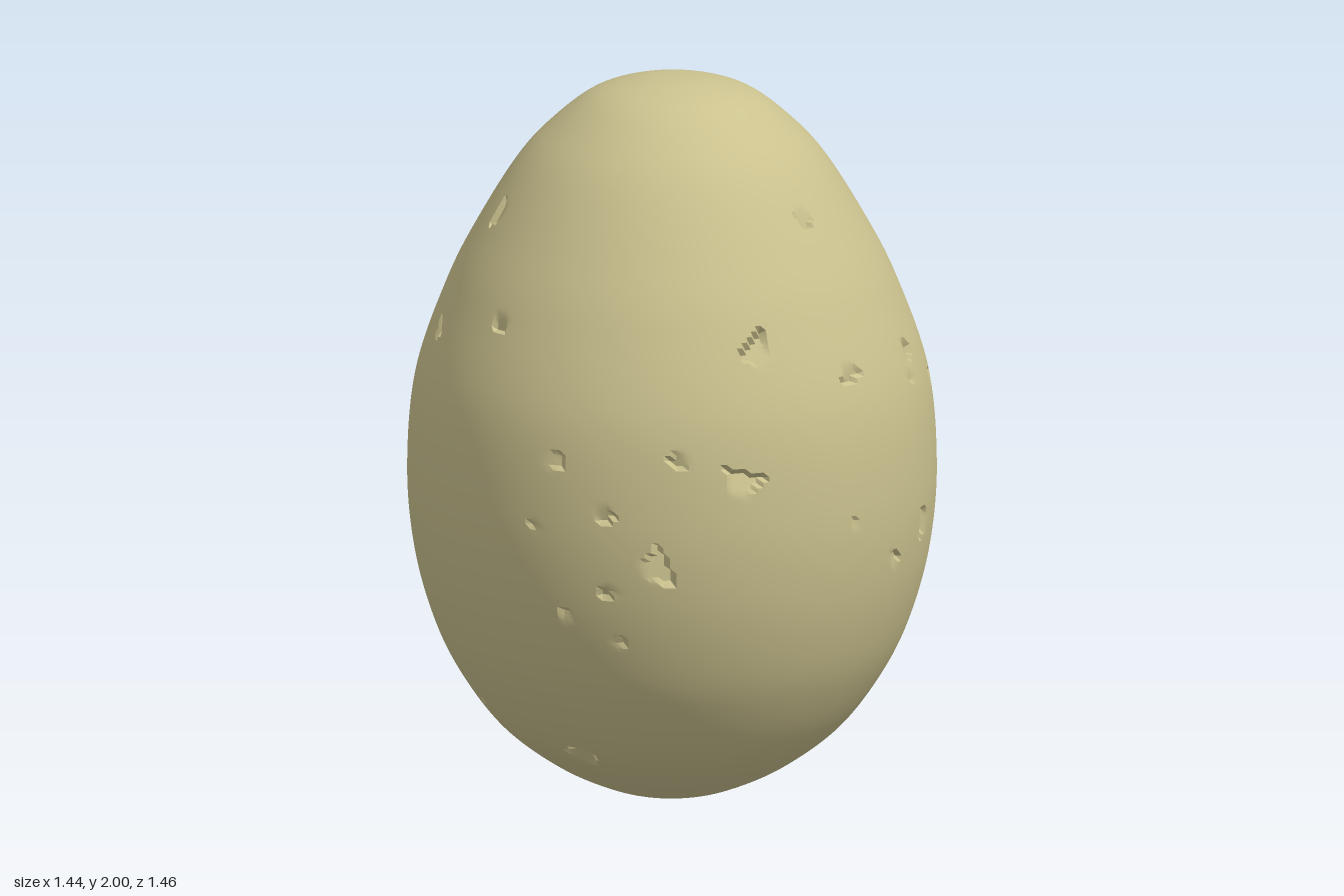
import * as THREE from 'three';
import { toCreasedNormals } from 'three/addons/utils/BufferGeometryUtils.js';

const DEPTH = 1.02; // the egg is slightly deeper than wide

// Egg outline, bottom to top: radius, height
const profile = new THREE.SplineCurve([
  [0, 0], [0.1, 0.006], [0.2, 0.035], [0.33, 0.1], [0.47, 0.21], [0.58, 0.36], [0.65, 0.51],
  [0.7, 0.7], [0.718, 0.92], [0.695, 1.18], [0.61, 1.43], [0.525, 1.6], [0.42, 1.77],
  [0.33, 1.87], [0.22, 1.955], [0.1, 1.993], [0, 2],
].map(([r, y]) => new THREE.Vector2(r, y))).getSpacedPoints(190);
profile.forEach(p => { p.x = Math.max(p.x, 0); });
profile[0].x = profile[profile.length - 1].x = 0;

function radiusAt(y) {
  for (let i = 1; i < profile.length; i++) {
    const a = profile[i - 1], b = profile[i];
    if (y >= a.y && y < b.y) return a.x + (b.x - a.x) * (y - a.y) / (b.y - a.y);
  }
  return 0;
}

// Chips by facing direction (azimuth, elevation in degrees): across, up from the middle, size
const chipGroups = [
  { az: 0, el: 0, chips: [
    [-0.37, 0.66, 0.04], [-0.53, 0.33, 0.035], [-0.27, 0.41, 0.035], [0.44, 0.37, 0.05],
    [-0.05, 0.08, 0.035], [0.29, 0.09, 0.035], [0.44, 0.02, 0.05], [0.1, -0.06, 0.035],
    [-0.11, -0.11, 0.02], [0.23, -0.21, 0.055], [0.1, -0.28, 0.03], [-0.03, -0.36, 0.03],
    [0.12, -0.42, 0.022], [-0.41, -0.69, 0.025], [-0.08, -0.81, 0.055]] },
  { az: 90, el: 0, chips: [
    [-0.24, 0.28, 0.035], [-0.29, -0.13, 0.022], [0.06, 0.28, 0.035], [0.04, 0.21, 0.02],
    [0.25, 0.16, 0.03], [0.4, -0.11, 0.04], [0.07, -0.2, 0.045], [-0.11, -0.26, 0.028],
    [-0.16, 0.68, 0.038], [0.51, 0.41, 0.035], [0.62, 0.09, 0.03], [0.58, -0.1, 0.028],
    [0.66, -0.43, 0.025]] },
  { az: 213, el: 24, chips: [
    [-0.57, 0.29, 0.035], [-0.01, 0.18, 0.035], [-0.14, -0.17, 0.025], [0.09, -0.21, 0.045],
    [0.37, -0.48, 0.03], [0.48, -0.46, 0.025], [-0.13, -0.69, 0.045], [0.49, 0.05, 0.025],
    [0.61, -0.22, 0.035]] },
  { az: 138, el: -31, chips: [[0.25, -0.02, 0.025], [0.62, -0.24, 0.045]] },
];

// Finds each chip on the shell and gives it a tangent frame
function placeChips() {
  const placed = [];
  for (const { az, el, chips } of chipGroups) {
    const a = THREE.MathUtils.degToRad(az), e = THREE.MathUtils.degToRad(el);
    const dir = new THREE.Vector3(Math.sin(a) * Math.cos(e), Math.sin(e), Math.cos(a) * Math.cos(e));
    const right = new THREE.Vector3(Math.cos(a), 0, -Math.sin(a));
    const up = dir.clone().cross(right);
    for (const [u, v, size] of chips) {
      const p = new THREE.Vector3();
      for (let t = 1.4; t > -0.2; t -= 0.005) {
        p.set(0, 1, 0).addScaledVector(right, u).addScaledVector(up, v).addScaledVector(dir, t);
        if (Math.hypot(p.x, p.z / DEPTH) < radiusAt(p.y)) break;
      }
      const inward = new THREE.Vector3(0, 0.95, 0).sub(p).normalize();
      const side = new THREE.Vector3(0, 1, 0).cross(inward).normalize();
      const rise = inward.clone().cross(side);
      const k = placed.length;
      placed.push({ p, size, inward, side, rise, sides: 3 + k % 3, turn: k * 2.4 });
    }
  }
  return placed;
}

// Presses a small polygon with a slanted floor into the shell
function pressChip(v, chip) {
  const d = v.clone().sub(chip.p);
  if (d.length() > chip.size * 2) return;
  const x = d.dot(chip.side), y = d.dot(chip.rise);
  const step = Math.PI * 2 / chip.sides;
  for (let i = 0; i < chip.sides; i++) {
    const t = chip.turn + i * step;
    if (x * Math.cos(t) + y * Math.sin(t) > chip.size * 0.65) return;
  }
  const slope = 0.5 + (x * Math.cos(chip.turn) + y * Math.sin(chip.turn)) / (chip.size * 1.3);
  v.addScaledVector(chip.inward, chip.size * 0.45 * THREE.MathUtils.clamp(slope, 0, 1));
}

export function createModel() {
  const shellColour = new THREE.MeshStandardMaterial({ color: 0xcac18e });
  shellColour.name = 'pale olive shell';

  const geometry = new THREE.LatheGeometry(profile, 260);
  geometry.scale(1, 1, DEPTH);
  const chips = placeChips();
  const pos = geometry.attributes.position;
  const v = new THREE.Vector3();
  for (let i = 0; i < pos.count; i++) {
    v.fromBufferAttribute(pos, i);
    for (const chip of chips) pressChip(v, chip);
    pos.setXYZ(i, v.x, v.y, v.z);
  }

  const shell = new THREE.Mesh(toCreasedNormals(geometry, 0.4), shellColour);
  shell.name = 'eggShell';
  const egg = new THREE.Group();
  egg.name = 'egg';
  egg.add(shell);
  return egg;
}
